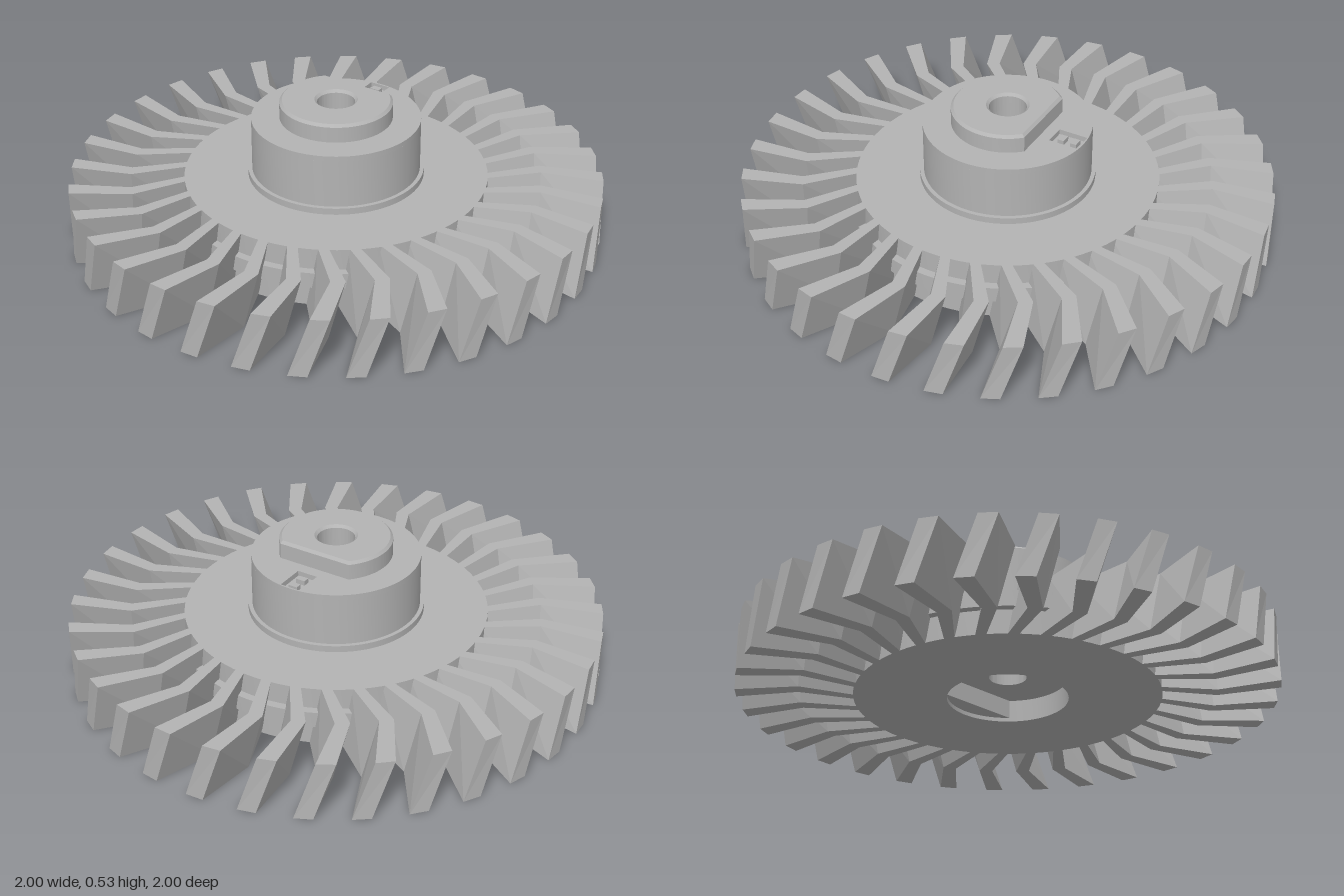
import * as THREE from 'three';
import { toCreasedNormals } from 'three/addons/utils/BufferGeometryUtils.js';

const BLADES = 32;
const HEIGHT = 0.23;
const rad = THREE.MathUtils.degToRad;

// Flat outline in plan (shape y points to the back), raised from y0 to y1
function raise(shape, y0, y1, chamfer = 0) {
  const geo = new THREE.ExtrudeGeometry(shape, {
    depth: y1 - y0 - 2 * chamfer, curveSegments: 64, bevelEnabled: chamfer > 0,
    bevelThickness: chamfer, bevelSize: chamfer, bevelOffset: -chamfer, bevelSegments: 1,
  });
  geo.rotateX(-Math.PI / 2).translate(0, y0 + chamfer, 0);
  return toCreasedNormals(geo, 0.5);
}

function circleHole(r) {
  return new THREE.Path().absarc(0, 0, r, 0, Math.PI * 2, true);
}

function rectPath(x0, x1, y0, y1) {
  return new THREE.Path([[x0, y0], [x0, y1], [x1, y1], [x1, y0]].map(p => new THREE.Vector2(...p)));
}

// Kinked, slanted blade: four-cornered sections at growing radius
function bladeGeometry() {
  const stations = [
    { r: 0.55, a: 3.4, w: 3.9 },
    { r: 0.77, a: -2.0, w: 3.9 },
    { r: 1.0, a: 1.5, w: 3.9 },
  ];
  const slant = 4.4;
  const sections = stations.map(({ r, a, w }) =>
    [[a, HEIGHT], [a + w, HEIGHT], [a + w + slant, 0], [a + slant, 0]].map(([deg, y]) =>
      [r * Math.sin(rad(deg)), y, -r * Math.cos(rad(deg))]));
  const pos = [];
  const quad = (a, b, c, d) => pos.push(...a, ...b, ...c, ...a, ...c, ...d);
  for (let i = 0; i < sections.length - 1; i++) {
    const s = sections[i], t = sections[i + 1];
    for (let j = 0; j < 4; j++) {
      const k = (j + 1) % 4;
      quad(s[j], s[k], t[k], t[j]);
    }
  }
  quad(...sections[sections.length - 1]);
  const geo = new THREE.BufferGeometry();
  geo.setAttribute('position', new THREE.Float32BufferAttribute(pos, 3));
  geo.computeVertexNormals();
  return geo;
}

export function createModel() {
  const group = new THREE.Group();
  const metal = new THREE.MeshStandardMaterial({ color: 0xb3b3b3 });
  metal.name = 'grey metal';
  const add = (name, geo, parent = group) => {
    const mesh = new THREE.Mesh(geo, metal);
    mesh.name = name;
    parent.add(mesh);
    return mesh;
  };

  // Disc, rim rib, hub wall, bore and underside recess in one turned profile
  const profile = [
    [0.07, 0.46], [0.07, 0.085], [0.225, 0.085], [0.225, 0], [0.57, 0],
    [0.57, 0.09], [0.6, 0.09], [0.6, 0.15], [0.57, 0.15], [0.57, HEIGHT],
    [0.33, HEIGHT], [0.33, 0.255], [0.315, 0.255], [0.315, 0.44], [0.18, 0.44],
  ].map(p => new THREE.Vector2(...p));
  add('discAndHub', toCreasedNormals(new THREE.LatheGeometry(profile, 96), 0.5));

  // Hub top with a small slot near its back edge
  const top = new THREE.Shape().absarc(0, 0, 0.315, 0, Math.PI * 2, false);
  top.holes.push(circleHole(0.07), rectPath(-0.04, 0.04, 0.195, 0.308));
  add('hubTop', raise(top, 0.44, 0.46));
  for (const z of [-0.28, -0.23]) {
    const key = new THREE.BoxGeometry(0.036, 0.018, 0.025);
    add('slotBlock', key.translate(0, 0.449, z));
  }

  // Raised boss with a flat on its back side
  const bossR = 0.21, flat = Math.asin(0.15 / bossR);
  const boss = new THREE.Shape().absarc(0, 0, bossR, Math.PI - flat, Math.PI * 2 + flat, false);
  boss.closePath();
  boss.holes.push(circleHole(0.07));
  add('boss', raise(boss, 0.45, 0.53, 0.01));

  // Matching flat inside the underside recess
  const seat = Math.asin(0.155 / 0.225);
  const segment = new THREE.Shape().absarc(0, 0, 0.225, seat, Math.PI - seat, false);
  segment.closePath();
  add('recessFlat', raise(segment, 0.015, 0.086));

  // Ring of blades
  const blades = new THREE.Group();
  blades.name = 'blades';
  group.add(blades);
  const blade = bladeGeometry();
  for (let i = 0; i < BLADES; i++) {
    add('blade', blade, blades).rotation.y = (i / BLADES) * Math.PI * 2;
  }
  return group;
}
